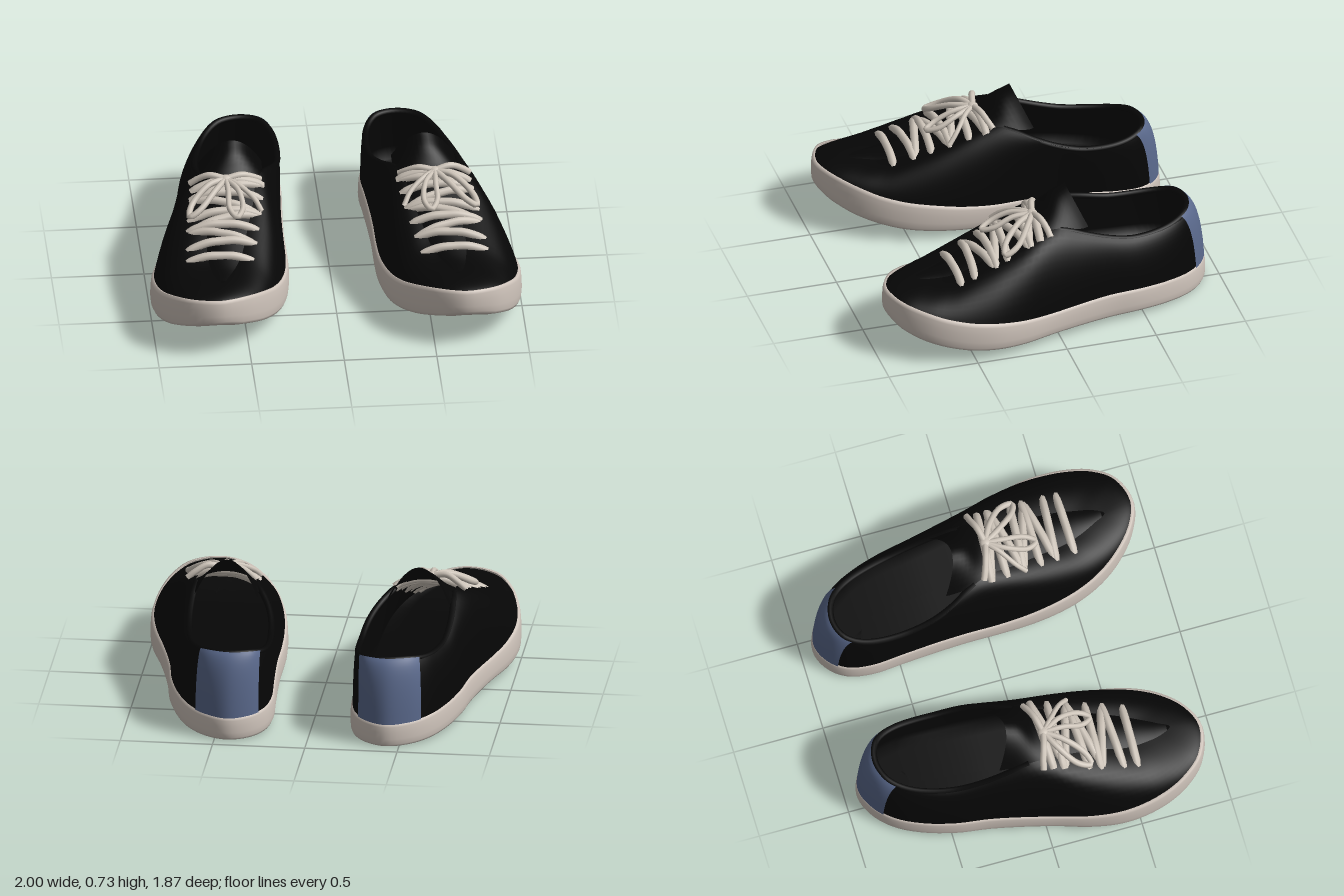
import * as THREE from 'three';

const V = (x, y, z) => new THREE.Vector3(x, y, z);
const { lerp, clamp, smoothstep } = THREE.MathUtils;
const mat = (name, color) => {
  const m = new THREE.MeshStandardMaterial({ color, side: THREE.DoubleSide });
  m.name = name;
  return m;
};

// Footprint, heel to toe: z, inner x, outer x, sole bottom y, sole top y
const FOOT = [
  [-0.937, 0.43, 0.43, 0, 0.125], [-0.895, 0.32, 0.55, 0.001, 0.13], [-0.8, 0.24, 0.655, 0.008, 0.14],
  [-0.66, 0.208, 0.735, 0.02, 0.155], [-0.48, 0.215, 0.795, 0.033, 0.17], [-0.3, 0.225, 0.825, 0.038, 0.178],
  [-0.12, 0.232, 0.865, 0.04, 0.175], [0.05, 0.232, 0.91, 0.04, 0.172], [0.22, 0.235, 0.965, 0.042, 0.188],
  [0.38, 0.25, 0.998, 0.053, 0.215], [0.52, 0.28, 0.998, 0.07, 0.24], [0.66, 0.335, 0.972, 0.1, 0.275],
  [0.78, 0.415, 0.92, 0.135, 0.315], [0.885, 0.53, 0.83, 0.18, 0.345], [0.937, 0.67, 0.67, 0.215, 0.352],
];
// Upper's top edge for the same rows: z, inner x, outer x, y
const RIM = [
  [-0.84, 0.42, 0.42, 0.475], [-0.805, 0.31, 0.54, 0.472], [-0.72, 0.255, 0.615, 0.455],
  [-0.6, 0.232, 0.665, 0.444], [-0.45, 0.232, 0.7, 0.45], [-0.3, 0.25, 0.715, 0.49],
  [-0.18, 0.29, 0.715, 0.535], [-0.05, 0.36, 0.705, 0.58], [0.05, 0.4, 0.7, 0.57],
  [0.2, 0.43, 0.69, 0.515], [0.35, 0.47, 0.69, 0.458], [0.5, 0.51, 0.7, 0.4],
  [0.6, 0.55, 0.69, 0.378], [0.7, 0.6, 0.67, 0.372], [0.76, 0.635, 0.635, 0.37],
];
const LAST = FOOT.length - 1;
const LOOP = 2 * LAST;

// Closed loop: heel, inner side, toe, outer side
const loop = (rows, point) => {
  const inner = rows.map((r) => point(r, r[1]));
  const outer = rows.slice(1, -1).reverse().map((r) => point(r, r[2]));
  const curve = new THREE.CatmullRomCurve3([...inner, ...outer], true, 'centripetal');
  return (u) => curve.getPoint(((u % 1) + 1) % 1);
};
const outline = loop(FOOT, (r, x) => V(x, 0, r[0]));
const rim = loop(RIM, (r, x) => V(x, r[3], r[0]));
const spine = loop(FOOT, (r) => V((r[1] + r[2]) / 2, 0, clamp(r[0], -0.65, 0.6)));

// Height of the sole's bottom or top at a given z
const heightAt = (column) => {
  const curve = new THREE.SplineCurve(FOOT.map((r) => new THREE.Vector2(r[0], r[column])));
  return (z) => {
    let i = 0;
    while (i < LAST - 1 && z > FOOT[i + 1][0]) i++;
    const t = clamp((z - FOOT[i][0]) / (FOOT[i + 1][0] - FOOT[i][0]), 0, 1);
    return curve.getPoint((i + t) / LAST).y;
  };
};
const bottomAt = heightAt(3), topAt = heightAt(4);

// Footprint point pulled toward the spine, at height share h of the sole wall
const solePoint = (u, scale, h) => {
  const p = spine(u).lerp(outline(u), scale);
  p.y = lerp(bottomAt(p.z), topAt(p.z), h);
  return p;
};
// Upper surface: v = 0 at the sole, 1 at the rim, bulging outward between
const upperPoint = (u, v, swell = 1) => {
  const a = solePoint(u, 0.955, 0.9), b = rim(u);
  const c = V().lerpVectors(a, b, 0.2);
  c.y = lerp(a.y, b.y, 0.86);
  const p = new THREE.QuadraticBezierCurve3(a, c, b).getPoint(v);
  const mid = spine(u);
  p.x = mid.x + (p.x - mid.x) * swell;
  p.z = mid.z + (p.z - mid.z) * swell;
  return p;
};

// Smooth surface from a rule over a grid; closed joins the ends of u
const surface = (fn, nu, nv, closed = false) => {
  const cols = closed ? nu : nu + 1, pos = [], index = [];
  for (let j = 0; j <= nv; j++)
    for (let i = 0; i < cols; i++) pos.push(...fn(i / nu, j / nv).toArray());
  for (let j = 0; j < nv; j++)
    for (let i = 0; i < nu; i++) {
      const a = j * cols + i, b = j * cols + ((i + 1) % cols);
      index.push(a, b, a + cols, b, b + cols, a + cols);
    }
  const g = new THREE.BufferGeometry();
  g.setAttribute('position', new THREE.Float32BufferAttribute(pos, 3));
  g.setIndex(index);
  g.computeVertexNormals();
  return g;
};

const tube = (pts, r, n = 24) =>
  new THREE.TubeGeometry(new THREE.CatmullRomCurve3(pts), n, r, 8, false);

function buildShoe(mats) {
  const shoe = new THREE.Group();
  const add = (name, geo, m, parent = shoe) => {
    const mesh = new THREE.Mesh(geo, m);
    mesh.name = name;
    parent.add(mesh);
    return mesh;
  };

  // Sole: rings from the middle of the tread to the rim under the upper
  const rings = [[0, 0], [0.3, 0], [0.6, 0], [0.9, 0], [0.97, 0.03], [0.99, 0.12], [1, 0.35],
    [0.995, 0.65], [0.985, 0.88], [0.968, 1], [0.93, 1]];
  add('sole', surface((u, v) => solePoint(u, ...rings[Math.round(v * (rings.length - 1))]),
    112, rings.length - 1, true), mats.sole);

  // Fabric upper
  add('upper', surface((u, v) => upperPoint(u, v), 112, 12, true), mats.fabric);

  // Lining down to the footbed, then across it
  add('lining', surface((u, v) => (v <= 0.5
    ? rim(u).lerp(solePoint(u, 0.9, 0.95), v * 2)
    : solePoint(u, 0.9 * (2 - v * 2), 0.95)), 112, 8, true), mats.fabric);

  // Padded collar around the opening
  const collar = [];
  for (let i = -14; i <= 14; i++) {
    const p = rim(i / 2 / LOOP);
    p.lerp(spine(i / 2 / LOOP).setY(p.y), 0.05);
    p.y -= 0.012;
    collar.push(p);
  }
  add('collar', tube(collar, 0.018, 72), mats.fabric);

  // Heel patch, a thin skin over the back
  add('heelPatch', surface((u, v) => upperPoint((u * 2 - 1) * 1.6 / LOOP, 0.02 + v * 0.98, 1.025),
    24, 12), mats.heel);

  // Tongue: arched sheet filling the throat and standing above the laces
  const tongueLine = new THREE.CatmullRomCurve3([V(0.635, 0.372, 0.74), V(0.62, 0.386, 0.6),
    V(0.59, 0.458, 0.38), V(0.56, 0.535, 0.18), V(0.54, 0.61, 0.03), V(0.525, 0.69, -0.05), V(0.52, 0.735, -0.13)]);
  add('tongue', surface((u, v) => {
    const p = tongueLine.getPoint(v), s = u * 2 - 1, tip = smoothstep(v, 0.6, 1);
    p.x += s * (0.08 + 0.1 * Math.min(1, v * 2) - 0.01 * tip);
    p.y -= s * s * (0.03 + 0.03 * v + 0.12 * tip);
    p.z -= s * s * 0.08 * tip;
    return p;
  }, 16, 24), mats.fabric);

  // Laces: a bar over each pair of eyelets, with crossing runs between
  const laces = new THREE.Group();
  laces.name = 'laces';
  shoe.add(laces);
  const lacePoint = (side, z, lift) => {
    const cx = 0.555 + (z - 0.04) * 0.15;
    return V(cx + side * 0.19, 0.395 + (0.5 - z) * 0.4 + lift, z);
  };
  const run = (z0, z1, top) => tube([-1, -0.85, -0.4, 0, 0.4, 0.85, 1].map((s) =>
    lacePoint(s, lerp(z0, z1, (s + 1) / 2), top - 0.055 * s * s * Math.abs(s))), 0.023);
  const eyelets = [0.54, 0.43, 0.34, 0.24, 0.14, 0.05];
  eyelets.forEach((z, i) => {
    add('laceBar', run(z, z + (i % 2 ? 0.025 : -0.01), 0.03), mats.lace, laces);
    if (i > 0 && i < 5) {
      const next = eyelets[i + 1];
      add('laceCross', i % 2 ? run(z, next, 0.022) : run(next, z, 0.022), mats.lace, laces);
    }
  });

  // Bow: knot, two loops and loose ends
  const bow = new THREE.Group();
  bow.name = 'bow';
  shoe.add(bow);
  const knot = add('knot', new THREE.SphereGeometry(0.03, 14, 10), mats.lace, bow);
  knot.position.set(0.565, 0.615, 0.07);
  knot.scale.set(1.1, 0.7, 1);
  const k = () => V(0.565, 0.615, 0.07);
  add('bowLoop', tube([k(), V(0.505, 0.605, 0.18), V(0.49, 0.555, 0.29), V(0.525, 0.535, 0.345),
    V(0.56, 0.555, 0.29), V(0.56, 0.605, 0.18), k()], 0.015, 40), mats.lace, bow);
  add('bowLoop', tube([k(), V(0.66, 0.61, 0.12), V(0.76, 0.54, 0.21), V(0.775, 0.51, 0.28),
    V(0.72, 0.54, 0.265), V(0.63, 0.6, 0.17), k()], 0.017, 40), mats.lace, bow);
  add('looseEnd', tube([k(), V(0.48, 0.625, 0.05), V(0.42, 0.6, 0.03), V(0.375, 0.57, 0.01)], 0.018), mats.lace, bow);
  add('looseEnd', tube([k(), V(0.65, 0.63, 0.05), V(0.71, 0.6, 0.03), V(0.755, 0.565, 0.02)], 0.018), mats.lace, bow);
  add('looseEnd', tube([k(), V(0.5, 0.61, 0.13), V(0.42, 0.56, 0.2), V(0.385, 0.51, 0.25)], 0.014), mats.lace, bow);
  return shoe;
}

export function createModel() {
  const mats = {
    fabric: mat('black fabric', 0x060606),
    sole: mat('off-white rubber', 0xd0c5bc),
    lace: mat('off-white lace', 0xcdc4b9),
    heel: mat('slate blue patch', 0x5a698c),
  };
  const model = new THREE.Group();
  model.name = 'sneakers';
  const left = buildShoe(mats);
  left.name = 'leftShoe';
  const right = left.clone();
  right.name = 'rightShoe';
  right.scale.x = -1;
  model.add(left, right);
  return model;
}
